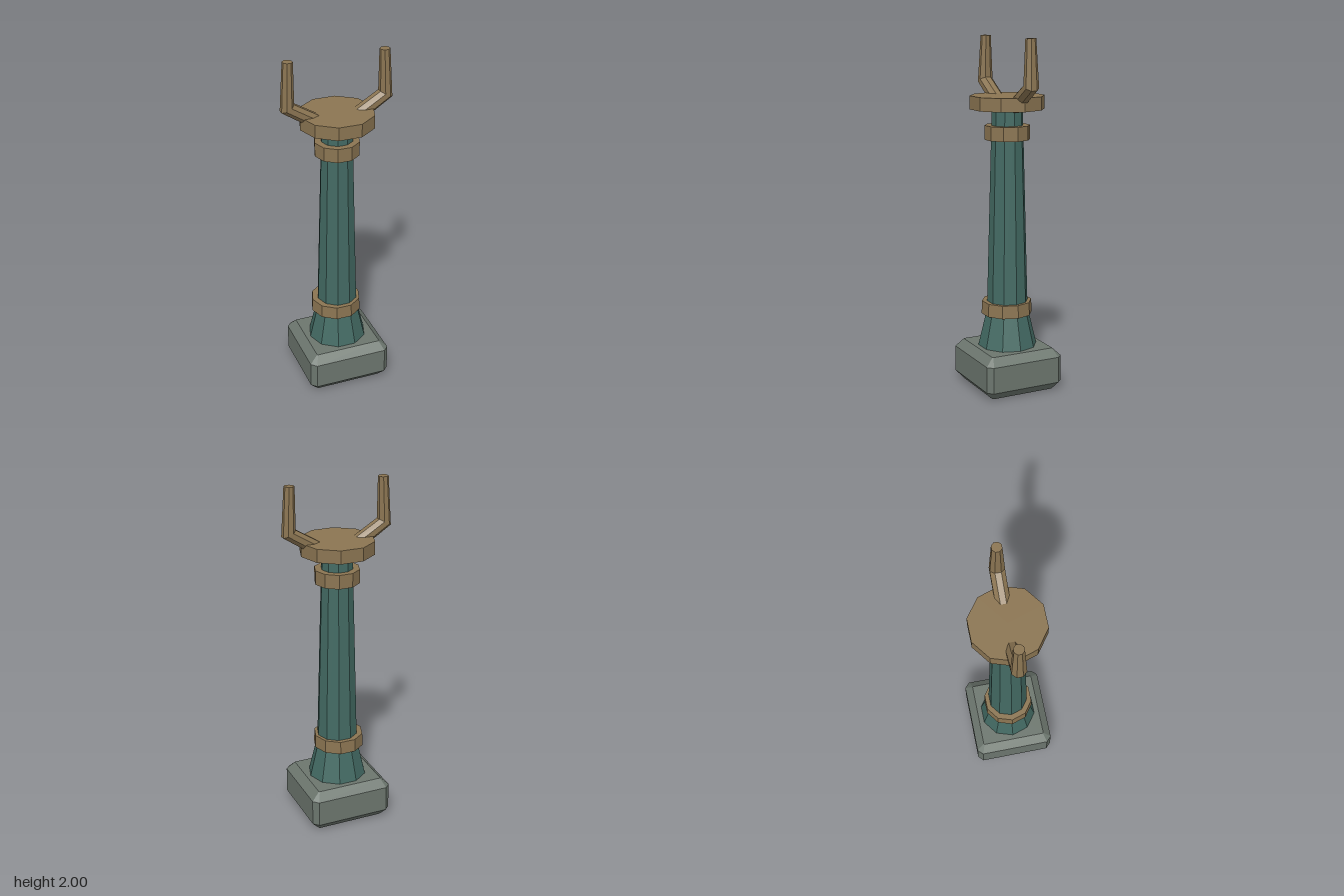
import * as THREE from 'three';

const SIDES = 10;

function makeMaterial(name, color) {
  const m = new THREE.MeshStandardMaterial({ color, flatShading: true });
  m.name = name;
  return m;
}

// Skin a list of equal-length rings (counter-clockwise seen from the last ring) and cap both ends
function loft(rings) {
  const n = rings[0].length;
  const positions = [];
  const tri = (...pts) => pts.forEach((p) => positions.push(p.x, p.y, p.z));
  for (let r = 0; r < rings.length - 1; r++) {
    const a = rings[r], b = rings[r + 1];
    for (let i = 0; i < n; i++) {
      const j = (i + 1) % n;
      tri(a[i], a[j], b[j]);
      tri(a[i], b[j], b[i]);
    }
  }
  const first = rings[0], last = rings[rings.length - 1];
  for (let i = 1; i < n - 1; i++) {
    tri(first[0], first[i + 1], first[i]);
    tri(last[0], last[i], last[i + 1]);
  }
  const g = new THREE.BufferGeometry();
  g.setAttribute('position', new THREE.Float32BufferAttribute(positions, 3));
  g.computeVertexNormals();
  return g;
}

// Square ring with cut corners, at height y
function squareRing(y, hx, hz, cut) {
  return [
    [hx, -hz + cut], [hx - cut, -hz], [-hx + cut, -hz], [-hx, -hz + cut],
    [-hx, hz - cut], [-hx + cut, hz], [hx - cut, hz], [hx, hz - cut],
  ].map(([x, z]) => new THREE.Vector3(x, y, z));
}

// Eight-sided ring around (x, y), facing along the given angle in the xy plane
function armRing(x, y, angle, radius) {
  const ux = Math.sin(angle), uy = -Math.cos(angle);
  return Array.from({ length: 8 }, (_, i) => {
    const t = ((i + 0.5) / 8) * Math.PI * 2;
    const c = Math.cos(t) * radius, s = Math.sin(t) * radius;
    return new THREE.Vector3(x + ux * c, y + uy * c, -s);
  });
}

export function createModel() {
  const group = new THREE.Group();
  const stone = makeMaterial('grey stone', 0x6c766e);
  const teal = makeMaterial('teal paint', 0x436a63);
  const wood = makeMaterial('brown wood', 0x8b7552);

  const add = (name, geometry, material) => {
    const mesh = new THREE.Mesh(geometry, material);
    mesh.name = name;
    group.add(mesh);
    return mesh;
  };

  // Ten-sided prism between two heights, with a corner on the x axis
  const prism = (name, y0, y1, r0, r1, material) => {
    const g = new THREE.CylinderGeometry(r1, r0, y1 - y0, SIDES, 1, false, Math.PI / 2);
    return add(name, g.translate(0, (y0 + y1) / 2, 0), material);
  };

  // Bevelled plinth
  add('base', loft([
    squareRing(0.0, 0.195, 0.19, 0.004),
    squareRing(0.05, 0.242, 0.235, 0.03),
    squareRing(0.2, 0.242, 0.235, 0.03),
    squareRing(0.245, 0.195, 0.19, 0.004),
  ]), stone);

  // Column: flared foot and tapering shaft
  prism('columnFoot', 0.24, 0.46, 0.17, 0.118, teal);
  prism('columnShaft', 0.46, 1.62, 0.118, 0.087, teal);

  // Collars and top plate
  prism('lowerCollar', 0.43, 0.505, 0.146, 0.143, wood).position.x = -0.008;
  prism('upperCollar', 1.435, 1.515, 0.128, 0.128, wood);
  prism('topPlate', 1.605, 1.68, 0.21, 0.21, wood);

  // Bent prongs, one on each side
  const prong = loft([
    armRing(0.09, 1.625, 0.56, 0.042),
    armRing(0.28, 1.745, 1.08, 0.043),
    armRing(0.272, 2.0, 1.6, 0.029),
  ]);
  add('leftProng', prong, wood);
  add('rightProng', prong, wood).rotation.y = Math.PI;

  return group;
}
